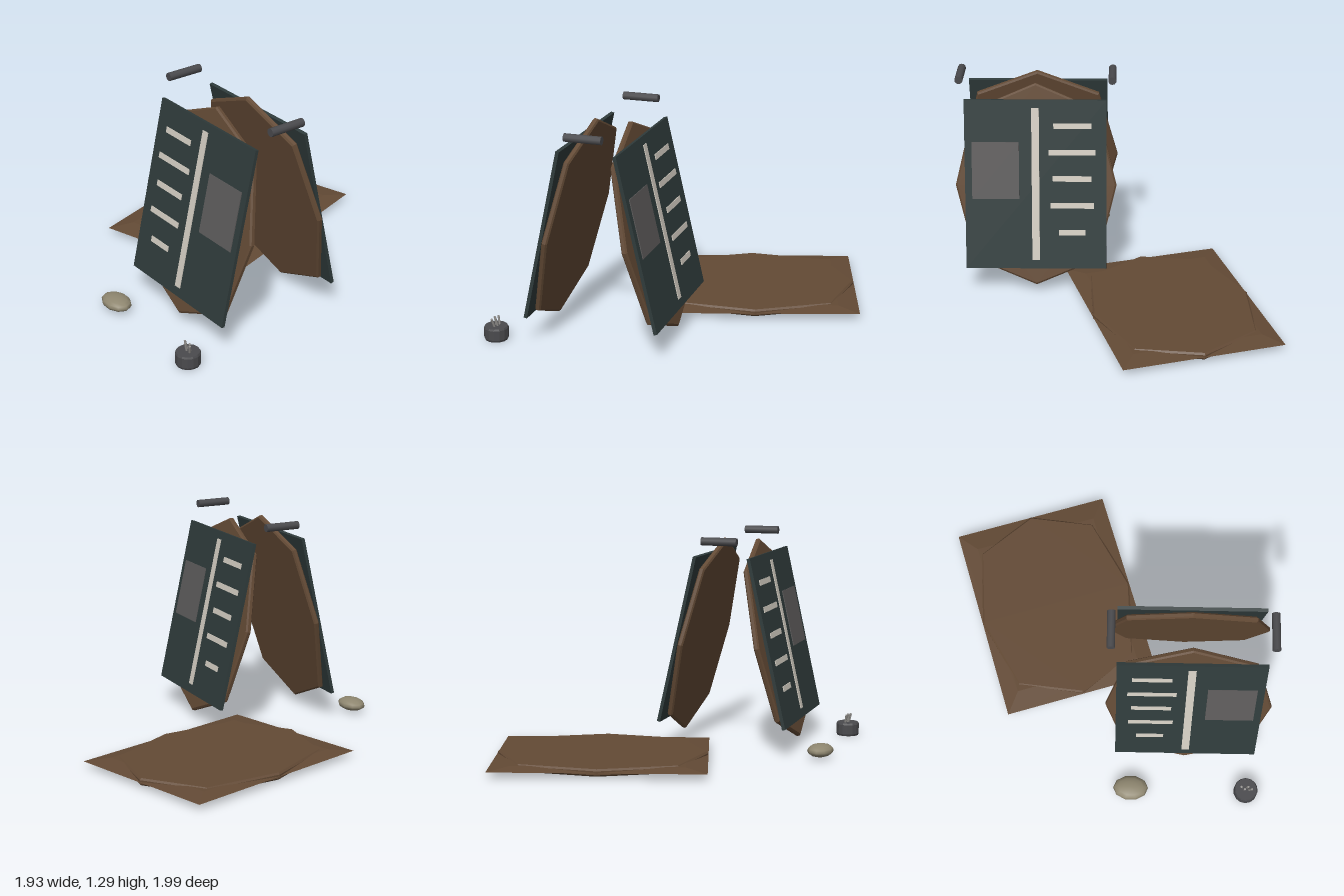
import * as THREE from 'three';

const mat = (name, color) => {
  const m = new THREE.MeshStandardMaterial({ color });
  m.name = name;
  return m;
};

export function createModel() {
  const wood = mat('brown wood', 0x634a35);
  const slate = mat('dark slate', 0x2f3b3b);
  const chalk = mat('pale chalk', 0xd0cabf);
  const panelGrey = mat('panel grey', 0x5c5a5a);
  const iron = mat('dark iron', 0x4a4a4d);
  const stick = mat('stick grey', 0x8f8d8a);
  const cloth = mat('stone beige', 0x8f8770);

  const root = new THREE.Group();
  root.name = 'chalkboardStand';
  const add = (parent, name, geo, material, x = 0, y = 0, z = 0) => {
    const m = new THREE.Mesh(geo, material);
    m.name = name;
    m.position.set(x, y, z);
    parent.add(m);
    return m;
  };
  const box = (w, h, d) => new THREE.BoxGeometry(w, h, d);

  // Eight-cornered wooden slab, shared by both legs and the fallen one
  const corners = [[0, 0.615], [-0.37, 0.457], [-0.48, 0], [-0.37, -0.457],
    [0, -0.615], [0.37, -0.457], [0.48, 0], [0.37, 0.457]];
  const outline = new THREE.Shape(corners.map(([x, y]) => new THREE.Vector2(x, y)));
  const slab = new THREE.ExtrudeGeometry(outline, {
    depth: 0.018, bevelEnabled: true, bevelThickness: 0.008,
    bevelSize: 0.01, bevelOffset: -0.01, bevelSegments: 1,
  });
  slab.translate(0, 0, -0.009);

  // Two leaning sides, each with a board and its chalk marks
  const lines = [[0.15, 0.375, 1.02], [0.125, 0.405, 0.865], [0.15, 0.38, 0.71],
    [0.135, 0.395, 0.55], [0.185, 0.345, 0.39]];
  for (const s of [1, -1]) {
    const turn = new THREE.Group();
    turn.name = s > 0 ? 'frontSide' : 'backSide';
    turn.position.set(0.482, 0.65, 0.33 + s * 0.235);
    turn.rotation.y = s > 0 ? 0 : Math.PI;
    const side = new THREE.Group();
    side.name = 'leaningSide';
    side.rotation.x = -0.221;
    turn.add(side);
    root.add(turn);

    add(side, 'woodenSlab', slab, wood);
    add(side, 'board', box(0.84, 1.025, 0.02), slate, 0, 0.01, 0.045);
    const mark = (name, x0, x1, y0, y1, material) => add(side, name,
      box(x1 - x0, (y1 - y0) / 0.975, 0.006), material,
      s * ((x0 + x1) / 2 - 0.482), ((y0 + y1) / 2 - 0.662) / 0.975, 0.057);
    mark('divider', 0.46, 0.505, 0.225, 1.125, chalk);
    mark('greyPanel', 0.58, 0.86, 0.59, 0.925, panelGrey);
    for (const [x0, x1, y] of lines) mark('chalkLine', x0, x1, y - 0.016, y + 0.016, chalk);
  }

  // Hinge rods across the top
  for (const x of [0.028, 0.935]) {
    const rod = add(root, 'hingeRod', new THREE.CylinderGeometry(0.024, 0.024, 0.215, 10), iron, x, 1.267, 0.328);
    rod.rotation.x = Math.PI / 2;
  }

  // Slab lying on a ground mat whose top and bottom taper to the rim
  const ground = new THREE.Group();
  ground.name = 'groundMat';
  ground.position.set(-0.325, 0.036, -0.267);
  ground.rotation.y = 0.3;
  root.add(ground);
  add(ground, 'fallenSlab', slab.clone().scale(1, 1, 1.25), wood).rotation.x = -Math.PI / 2;
  for (const s of [1, -1]) {
    const half = new THREE.CylinderGeometry(0.8 * Math.SQRT1_2, Math.SQRT1_2, 0.016, 4, 1);
    half.rotateY(Math.PI / 4).scale(0.963, 1, 1.237);
    if (s < 0) half.rotateX(Math.PI);
    const g = half.toNonIndexed();
    g.computeVertexNormals();
    add(ground, s > 0 ? 'matTop' : 'matUnderside', g, wood, 0, s * 0.008, 0);
  }

  // Pot with chalk sticks
  const pot = new THREE.Group();
  pot.name = 'chalkPot';
  pot.position.set(0.858, 0, 0.922);
  root.add(pot);
  const profile = [[0, 0], [0.066, 0], [0.071, 0.012], [0.071, 0.07], [0.066, 0.08], [0, 0.08]]
    .map(([r, y]) => new THREE.Vector2(r, y));
  const potGeo = new THREE.LatheGeometry(profile, 14).toNonIndexed();
  potGeo.computeVertexNormals();
  add(pot, 'potBody', potGeo, iron);
  for (let i = 0; i < 4; i++) {
    const c = add(pot, 'chalkStick', new THREE.CylinderGeometry(0.007, 0.007, 0.06, 6), stick,
      -0.026 + i * 0.017, 0.1, (i % 2) * 0.014 - 0.007);
    c.rotation.set(0.18, 0, 0.15 - i * 0.14);
  }

  // Rounded flat stone
  add(root, 'flatStone', new THREE.SphereGeometry(1, 10, 8).scale(0.106, 0.038, 0.076), cloth, 0.16, 0.046, 0.918);

  return root;
}
